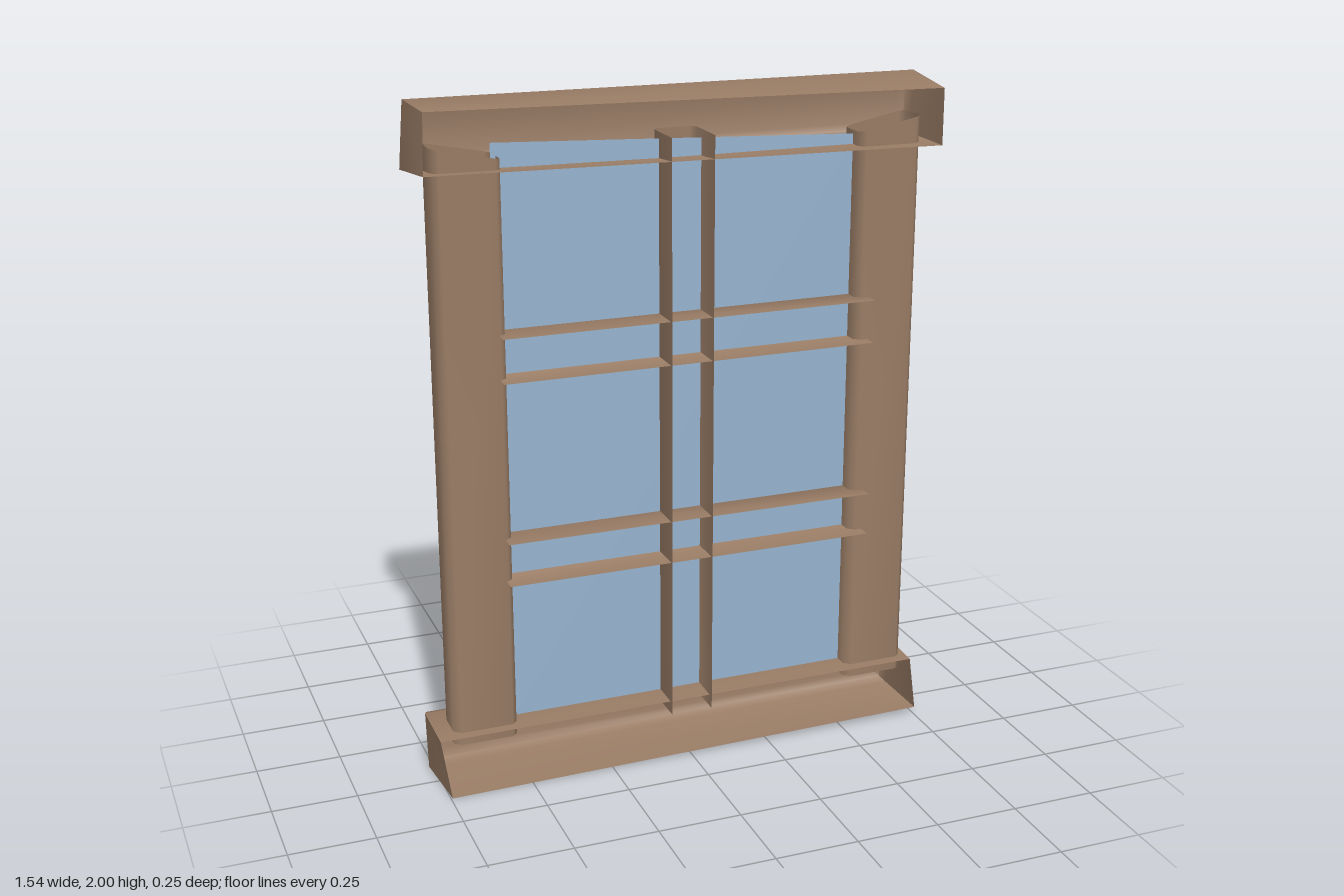
import * as THREE from 'three';
import { toCreasedNormals } from 'three/addons/utils/BufferGeometryUtils.js';

// Joins successive rings of [x, y, z] points; optionally closes each ring and caps the last one
function loft(rings, closed, cap) {
  const pos = [];
  const tri = (a, b, c) => pos.push(...a, ...b, ...c);
  for (let r = 0; r < rings.length - 1; r++) {
    const a = rings[r], b = rings[r + 1], n = a.length;
    for (let i = 0; i < (closed ? n : n - 1); i++) {
      const j = (i + 1) % n;
      tri(a[i], b[i], a[j]);
      tri(b[i], b[j], a[j]);
    }
  }
  if (cap) {
    const e = rings[rings.length - 1];
    for (let i = 1; i < e.length - 1; i++) tri(e[0], e[i + 1], e[i]);
  }
  const g = new THREE.BufferGeometry();
  g.setAttribute('position', new THREE.Float32BufferAttribute(pos, 3));
  return toCreasedNormals(g, 0.9);
}

// Bevelled trough, open toward +z; corners run bottom left, bottom right, top right, top left
function trough(front, rear) {
  const ring = (pts, z, inset) => pts.map(([x, y], i) => [
    x + (i === 0 || i === 3 ? inset : -inset), y + (i < 2 ? inset : -inset), z]);
  return loft([
    front.map(([x, y, z]) => [x, y, z]),
    ring(rear, -0.085, 0),
    ring(rear, -0.113, 0.01),
    ring(rear, -0.125, 0.03),
  ], true, true);
}

// U-shaped section across +-h with a bevelled back
const channel = (h, front, back, bevel) => [
  [-h, front], [-h, back + bevel], [-h + bevel, back],
  [h - bevel, back], [h, back + bevel], [h, front],
];

export function createModel() {
  const group = new THREE.Group();
  const wood = new THREE.MeshStandardMaterial({ color: 0x9a7d66, side: THREE.DoubleSide });
  wood.name = 'brown wood';
  const blue = new THREE.MeshStandardMaterial({ color: 0x96b3cf, side: THREE.DoubleSide });
  blue.name = 'blue glass';
  const add = (name, geometry, material = wood) => {
    const m = new THREE.Mesh(geometry, material);
    m.name = name;
    group.add(m);
  };

  // Slightly crooked beams above and below
  add('header', trough(
    [[-0.755, 1.83, 0.12], [0.76, 1.81, 0.125], [0.765, 1.972, 0.115], [-0.745, 1.995, 0.1]],
    [[-0.77, 1.812], [0.765, 1.81], [0.768, 1.995], [-0.755, 2.0]]));
  add('sill', trough(
    [[-0.745, 0.0, 0.115], [0.755, 0.02, 0.115], [0.74, 0.183, 0.1], [-0.77, 0.18, 0.1]],
    [[-0.765, 0.005], [0.755, 0.015], [0.745, 0.187], [-0.77, 0.183]]));

  // Side posts: closed section, open ends, tops falling toward the glass
  for (const s of [-1, 1]) {
    const section = [
      [-0.095, 0.05], [-0.095, -0.028], [-0.08, -0.042],
      [0.08, -0.042], [0.095, -0.028], [0.095, 0.055], [0.08, 0.068], [-0.075, 0.068],
    ];
    const ring = (top) => section.map(([x, z]) =>
      [s * 0.625 + x, top ? 1.87 - s * -x * 0.2 : 0.142, z]);
    add(s < 0 ? 'rightPost' : 'leftPost', loft([ring(false), ring(true)], true, false));
  }

  // Centre mullion
  const mullion = channel(0.063, 0.118, -0.036, 0.015);
  add('mullion', loft([0.145, 1.885].map((y) => mullion.map(([x, z]) => [x, y, z])), false, false));

  // Cross bars
  for (const [name, y] of [['upperBar', 1.302], ['lowerBar', 0.7]]) {
    const bar = channel(0.064, 0.11, -0.032, 0.032);
    add(name, loft([0.57, -0.55].map((x) => bar.map(([h, z]) => [x, y + h, z])), false, false));
  }

  // Glass pane with a sloping top edge
  const pane = new THREE.Shape([[-0.545, 0.145], [0.545, 0.15], [0.545, 1.84], [-0.545, 1.887]]
    .map(([x, y]) => new THREE.Vector2(x, y)));
  add('glass', new THREE.ShapeGeometry(pane).translate(0, 0, 0.015), blue);

  return group;
}
